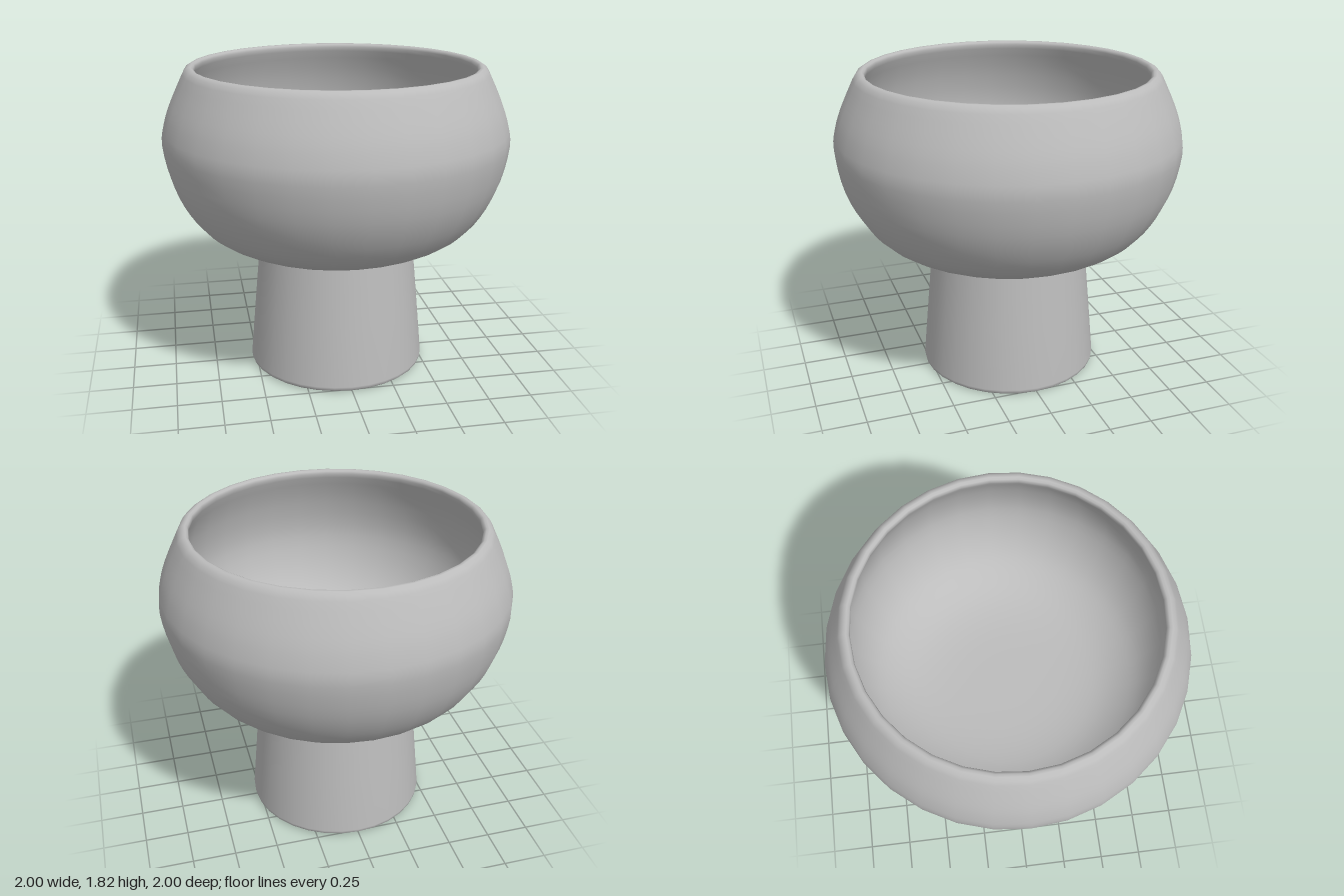
import * as THREE from 'three';

const SIDES = 32;

// Turn a list of [radius, height] pairs into a named lathe mesh
function turned(name, pairs, material) {
  const points = pairs.map(([r, y]) => new THREE.Vector2(r, y));
  const mesh = new THREE.Mesh(new THREE.LatheGeometry(points, SIDES), material);
  mesh.name = name;
  return mesh;
}

// Smooth curve through a few profile points
function smooth(pairs, steps) {
  const curve = new THREE.SplineCurve(pairs.map(([r, y]) => new THREE.Vector2(r, y)));
  return curve.getPoints(steps).map((p) => [p.x, p.y]);
}

export function createModel() {
  const group = new THREE.Group();
  group.name = 'footedBowl';
  const grey = new THREE.MeshStandardMaterial({ color: 0xbcbcbc });
  grey.name = 'grey ceramic';

  // Rounded bowl wall, from the foot up to the rim
  const outside = smooth([
    [0.44, 0.755], [0.6, 0.79], [0.77, 0.88], [0.88, 1.01], [0.96, 1.18],
    [1.0, 1.38], [0.985, 1.5], [0.945, 1.62], [0.87, 1.78],
  ], 24);

  // Softened lip
  const lip = [[0.855, 1.804], [0.835, 1.817], [0.82, 1.817], [0.808, 1.81], [0.803, 1.795]];

  // Hollow inside, following the wall down to a shallow floor
  const inside = smooth([
    [0.81, 1.77], [0.88, 1.6], [0.92, 1.38], [0.885, 1.19], [0.81, 1.04],
    [0.71, 0.94], [0.57, 0.865], [0.4, 0.83], [0.2, 0.82], [0, 0.82],
  ], 24);
  group.add(turned('bowl', [...outside, ...lip, ...inside], grey));

  // Tapered hollow foot with a rounded bottom edge
  group.add(turned('foot', [
    [0.43, 0.46], [0.465, 0.03], [0.47, 0.012], [0.485, 0.002], [0.5, 0],
    [0.515, 0.002], [0.526, 0.012], [0.529, 0.03], [0.495, 0.4], [0.46, 0.765],
  ], grey));

  // Ceiling of the hollow in the foot
  group.add(turned('footCeiling', [[0, 0.46], [0.43, 0.46]], grey));

  return group;
}
